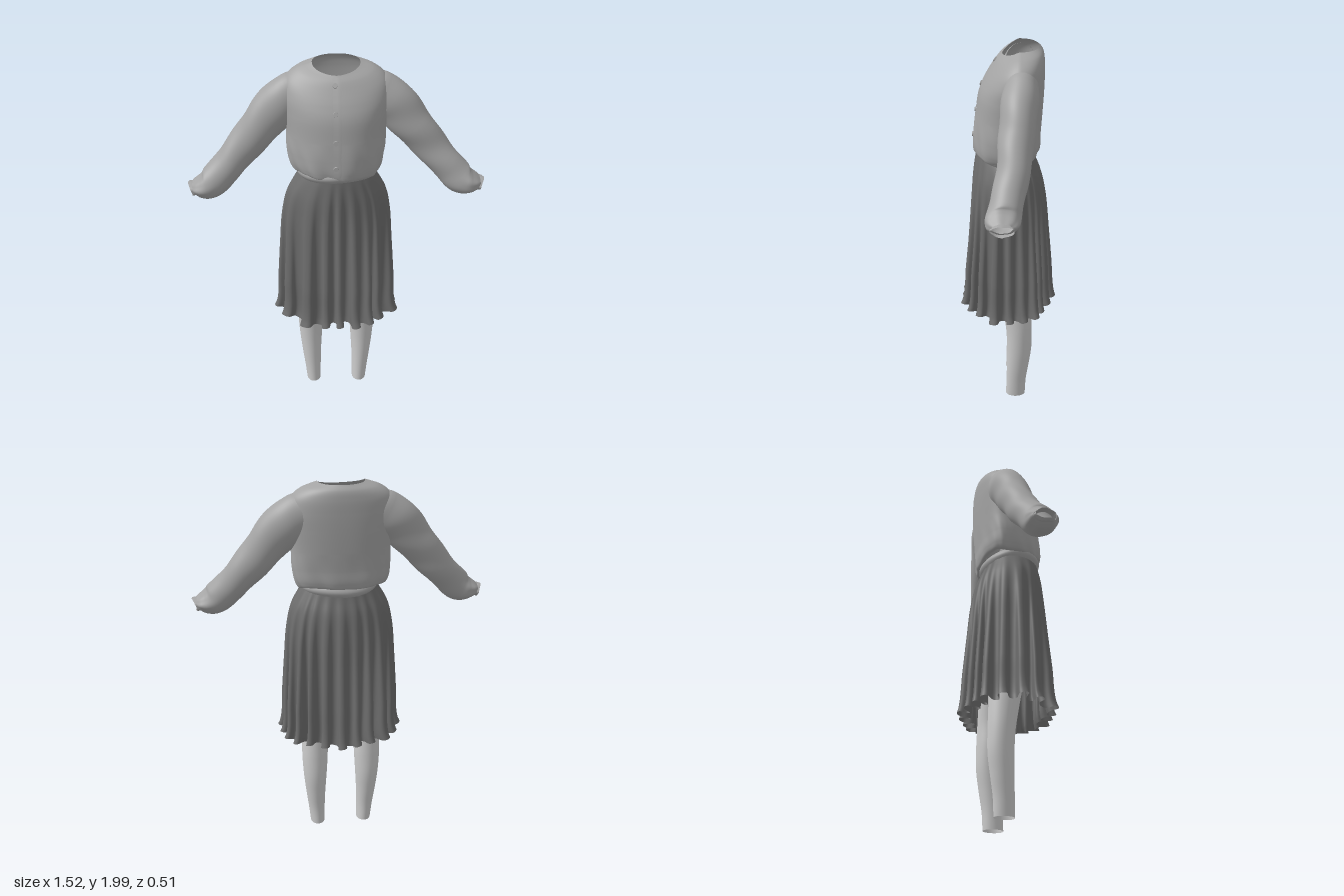
import * as THREE from 'three';
import { ParametricGeometry } from 'three/addons/geometries/ParametricGeometry.js';

const { sin, cos, abs, sign, PI, min, max } = Math;
const TAU = PI * 2;
const fabric = color => new THREE.MeshStandardMaterial({ color, side: THREE.DoubleSide });
const blouseCloth = fabric(0xa4a4a4);
const skirtCloth = fabric(0x6c6c6c);
const stocking = fabric(0xcccccc);

// Smooth interpolation of table rows; the first column is the parameter
function table(rows) {
  const n = rows[0].length - 1;
  const f = new THREE.CubicInterpolant(rows.map(r => r[0]), rows.flatMap(r => r.slice(1)), n, new Float32Array(n));
  return t => f.evaluate(t);
}

// Surface from point(angle, v, target)
function surface(name, point, around, along, material = blouseCloth) {
  const geo = new ParametricGeometry((u, v, t) => point(u * TAU, v, t), around, along);
  const mesh = new THREE.Mesh(geo, material);
  mesh.name = name;
  return mesh;
}

const power = (x, p) => sign(x) * Math.pow(abs(x), p);

// Blouse body: v, height, half width, front z, back z, drop at the front
const bodyRows = table([
  [0, 1.45, 0.185, 0.15, -0.135, 0],
  [0.04, 1.442, 0.215, 0.165, -0.155, 0],
  [0.1, 1.475, 0.237, 0.172, -0.167, 0],
  [0.2, 1.55, 0.25, 0.17, -0.17, 0],
  [0.36, 1.66, 0.252, 0.157, -0.178, 0],
  [0.52, 1.76, 0.262, 0.141, -0.184, 0],
  [0.68, 1.85, 0.268, 0.112, -0.187, 0.02],
  [0.82, 1.925, 0.245, 0.078, -0.186, 0.038],
  [0.92, 1.968, 0.19, 0.049, -0.178, 0.038],
  [1, 1.993, 0.118, 0.024, -0.158, 0.038],
]);

function bodyPoint(a, v, t) {
  const [y, hw, zf, zb, drop] = bodyRows(v);
  const c = cos(a), mid = -0.06;
  const low = max(0, 1 - v * 3);
  // the neckline comes to a soft point at the front
  const p = 0.86 + 0.06 * v + (c > 0 ? 0.25 * v ** 4 * c : 0);
  // gathers above the hem
  const puff = 1 + low * 0.025 * sin(7 * a + 2 * sin(2 * a)) + low * 0.012 * sin(15 * a + v * 20);
  const z = mid + power(c, p) * (c > 0 ? zf - mid : mid - zb) * puff;
  const x = power(sin(a), p) * hw * puff;
  // hem rides up at the back and at the right front
  const lift = 0.018 * max(0, -c) + 0.025 * max(0, cos(a + 0.7)) ** 6 + 0.008 * sin(3 * a + 1);
  t.set(x, y - drop * max(0, c) + low * lift, z);
}

// Finds the front of the blouse at a given height
function frontAt(y) {
  const p = new THREE.Vector3();
  let lo = 0.05, hi = 1;
  for (let i = 0; i < 30; i++) {
    const m = (lo + hi) / 2;
    bodyPoint(0, m, p);
    if (p.y < y) lo = m; else hi = m;
  }
  return p.clone();
}

// Sleeve: v, centre x, y, z, half height, half depth
const sleeveRows = table([
  [0, 0.175, 1.845, -0.07, 0.105, 0.082],
  [0.1, 0.215, 1.823, -0.066, 0.112, 0.088],
  [0.22, 0.28, 1.778, -0.06, 0.113, 0.092],
  [0.4, 0.38, 1.662, -0.045, 0.102, 0.087],
  [0.57, 0.48, 1.542, -0.032, 0.088, 0.083],
  [0.74, 0.573, 1.437, -0.004, 0.081, 0.081],
  [0.86, 0.64, 1.374, 0.016, 0.079, 0.084],
  [0.94, 0.69, 1.36, 0.021, 0.058, 0.08],
  [0.98, 0.722, 1.36, 0.021, 0.035, 0.065],
  [1, 0.735, 1.36, 0.021, 0.024, 0.048],
]);

function sleevePoint(s) {
  return (a, v, t) => {
    const [x0, y0] = sleeveRows(max(0, v - 0.03));
    const [x1, y1] = sleeveRows(min(1, v + 0.03));
    const [cx, cy, cz, h, d] = sleeveRows(v);
    const len = Math.hypot(x1 - x0, y1 - y0);
    const nx = (y0 - y1) / len, ny = (x1 - x0) / len;
    // soft diagonal creases, tighter gathers at the wrist
    const w = 1 + 0.03 * sin(v * 26 + 2 * a) * sin(v * PI) + 0.04 * sin(7 * a) * max(0, v - 0.8) * 4;
    const r = cos(a) * h * w;
    t.set(s * (cx + nx * r), cy + ny * r, cz + s * sin(a) * d * w);
  };
}

// Cuff: a flared band around the wrist
function cuffPoint(s) {
  return (a, v, t) => {
    const flare = 1 + 0.15 * sin(v * PI * 0.5) + 0.06 * v * sin(5 * a);
    const r = cos(a) * 0.027 * flare;
    t.set(s * (0.705 + 0.045 * v + r * 0.3 - 0.014 * abs(sin(a))), 1.355 + r - 0.008 * v,
      0.021 + s * sin(a) * 0.05 * flare);
  };
}

// Skirt: height, half width, front z, back z, fold depth
const skirtRows = table([
  [0.575, 0.345, 0.265, -0.264, 0.084],
  [0.6, 0.334, 0.254, -0.257, 0.079],
  [0.8, 0.318, 0.233, -0.24, 0.06],
  [1.0, 0.303, 0.211, -0.222, 0.04],
  [1.2, 0.284, 0.191, -0.202, 0.02],
  [1.32, 0.255, 0.179, -0.177, 0.009],
  [1.4, 0.212, 0.167, -0.145, 0.003],
  [1.445, 0.182, 0.158, -0.13, 0],
]);

// Angles of the fold crests, unevenly spaced around the hem
const crests = [0.03, 0.31, 0.6, 0.82, 1.28, 1.65, 1.97, 2.27, 2.5, 2.8,
  3.1, 3.38, 3.63, 3.92, 4.3, 4.75, 5.18, 5.75, 6.09];
const ring = [crests.at(-1) - TAU, ...crests, crests[0] + TAU];

function skirtPoint(a, v, t) {
  const y = 0.575 + 0.87 * v;
  const [hw, zf, zb, depth] = skirtRows(y);
  const i = max(1, ring.findIndex(r => r >= a));
  const gap = ring[i] - ring[i - 1];
  const phase = TAU * (a - ring[i - 1]) / gap;
  const size = 0.82 + 0.12 * sin(5 * a + 1) + 0.08 * sin(9 * a);
  // folds bulge outward and pinch at the neck near the hem
  const b = a + (depth / 0.084) * 0.7 * size * sin(2 * phase) * gap / TAU;
  const inset = depth * size * (0.5 - 0.5 * cos(phase)) + depth * 0.13 * (1 + sin(7 * a + 2));
  const c = cos(b), s = sin(b);
  const d = (c > 0 ? zf : -zb) - inset;
  t.set(s * (hw - inset * 0.85), y + (1 - v) * 0.008 * sin(phase + 1), c * d);
}

// Leg: height, centre x, half width, centre z, half depth
const legRows = table([
  [0, 0.131, 0.039, -0.046, 0.053],
  [0.1, 0.136, 0.045, -0.05, 0.054],
  [0.2, 0.141, 0.053, -0.058, 0.06],
  [0.32, 0.144, 0.063, -0.066, 0.067],
  [0.44, 0.144, 0.07, -0.064, 0.07],
  [0.57, 0.141, 0.072, -0.052, 0.078],
  [0.75, 0.118, 0.09, -0.033, 0.094],
  [0.95, 0.1, 0.106, -0.02, 0.115],
]);

export function createModel() {
  const model = new THREE.Group();
  model.name = 'outfit';

  // Blouse
  const blouse = new THREE.Group();
  blouse.name = 'blouse';
  blouse.add(surface('blouseBody', bodyPoint, 96, 60));
  for (const s of [1, -1]) {
    const side = s > 0 ? 'left' : 'right';
    blouse.add(surface(side + 'Sleeve', sleevePoint(s), 48, 60));
    blouse.add(surface(side + 'Cuff', cuffPoint(s), 40, 6));
  }

  // Rolled shirt tail showing below the hem, lower at the back
  blouse.add(surface('shirtTail', (a, v, t) => {
    const roll = sin(v * PI) * 0.016;
    const c = cos(a);
    t.set(sin(a) * (0.19 + roll), 1.415 + v * 0.06 + 0.016 * c + 0.004 * sin(3 * a),
      0.009 + c * (0.147 + roll));
  }, 64, 10));

  // Front overlap strip
  const strip = new ParametricGeometry((u, v, t) => {
    const p = frontAt(1.475 + v * 0.475);
    t.set(-0.02 + u * 0.04, p.y, p.z + 0.002 - 0.003 * abs(u - 0.5));
  }, 2, 30);
  const placket = new THREE.Mesh(strip, blouseCloth);
  placket.name = 'placket';
  blouse.add(placket);

  // Buttons follow the slope of the chest
  const buttonShape = new THREE.CylinderGeometry(0.012, 0.013, 0.007, 20).rotateX(PI / 2);
  for (const y of [1.92, 1.8, 1.66, 1.525]) {
    const p = frontAt(y), q = frontAt(y - 0.02);
    const button = new THREE.Mesh(buttonShape, blouseCloth);
    button.name = 'button';
    button.position.set(-0.008, p.y, p.z + 0.004);
    button.rotation.x = -Math.atan2(q.z - p.z, p.y - q.y);
    blouse.add(button);
  }
  model.add(blouse);

  // Skirt
  model.add(surface('skirt', skirtPoint, 520, 44, skirtCloth));

  // Stockings, open at the ankles, joined by a hip section under the skirt
  for (const s of [1, -1]) {
    model.add(surface(s > 0 ? 'leftLeg' : 'rightLeg', (a, v, t) => {
      const y = 0.95 * v;
      const [cx, hw, cz, hd] = legRows(y);
      t.set(s * cx + sin(a) * hw, y + 0.005 * (1 - v), cz + cos(a) * hd);
    }, 40, 36, stocking));
  }
  model.add(surface('hips', (a, v, t) => {
    t.set(sin(a) * (0.205 - 0.045 * v * v), 0.9 + 0.5 * v, -0.01 + cos(a) * (0.125 - 0.015 * v));
  }, 48, 12, stocking));

  return model;
}
